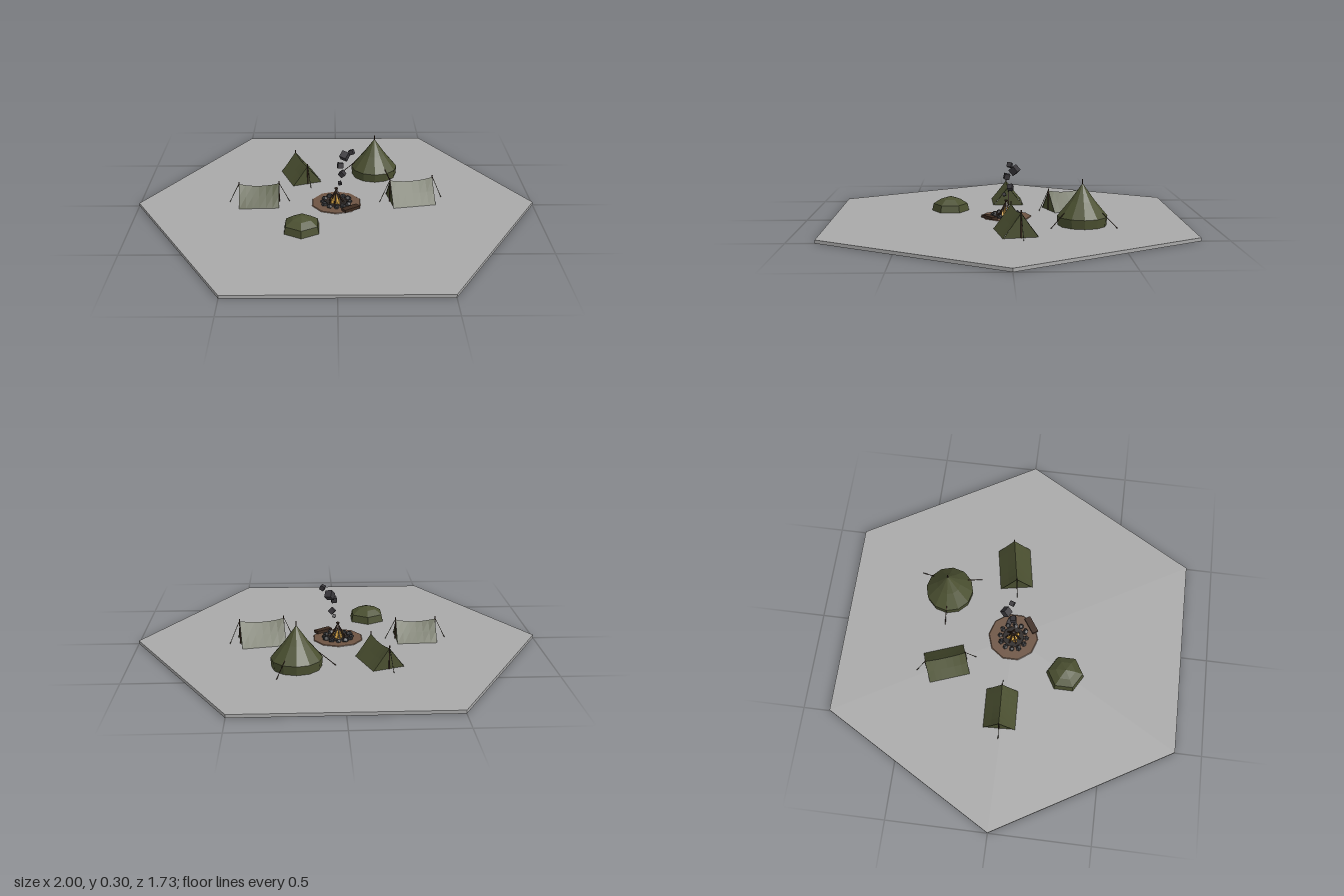
import * as THREE from 'three';

const GROUND = 0.016;
const mat = (name, color, side = THREE.FrontSide) => {
  const m = new THREE.MeshStandardMaterial({ color, side });
  m.name = name;
  return m;
};

export function createModel() {
  const model = new THREE.Group();
  model.name = 'campsite';
  const stone = mat('base grey', 0xa9a9a9);
  const canvas = mat('olive canvas', 0x4b5031, THREE.DoubleSide);
  const wood = mat('dark wood', 0x3d2b20);
  const rope = mat('rope', 0x35301f);
  const dirt = mat('dirt', 0x6d5443);
  const rock = mat('fire stones', 0x333335);
  const ash = mat('ash', 0x2a2523);
  const flame = mat('flame', 0xe0ac48);
  const smokeMat = mat('smoke', 0x38363a);

  // Faceted mesh with one normal per face
  const add = (parent, name, geo, material, x = 0, y = 0, z = 0) => {
    const g = geo.index ? geo.toNonIndexed() : geo;
    g.computeVertexNormals();
    const mesh = new THREE.Mesh(g, material);
    mesh.name = name;
    mesh.position.set(x, y, z);
    parent.add(mesh);
    return mesh;
  };
  const group = (name, x, z, turn = 0) => {
    const g = new THREE.Group();
    g.name = name;
    g.position.set(x, GROUND, z);
    g.rotation.y = turn;
    model.add(g);
    return g;
  };
  // Straight rod between two points
  const rod = (parent, name, from, to, r, material) => {
    const a = new THREE.Vector3(...from), b = new THREE.Vector3(...to);
    const d = b.clone().sub(a);
    const mesh = add(parent, name, new THREE.CylinderGeometry(r, r, d.length(), 5), material);
    mesh.position.copy(a).add(b).multiplyScalar(0.5);
    mesh.quaternion.setFromUnitVectors(new THREE.Vector3(0, 1, 0), d.normalize());
  };

  // Hexagonal base
  add(model, 'base', new THREE.CylinderGeometry(1, 1, GROUND, 6).rotateY(Math.PI / 6), stone, 0, GROUND / 2);

  // Ridge tents: a sheet folded over a sagging ridge, closed ends, poles and guy ropes
  const ridgeTent = (x, z, turn, half, width, height) => {
    const tent = group('ridgeTent', x, z, turn);
    const sheet = new THREE.PlaneGeometry(2, 2, 6, 4).rotateX(-Math.PI / 2);
    const p = sheet.attributes.position;
    for (let i = 0; i < p.count; i++) {
      const u = p.getX(i), v = p.getZ(i), rise = 1 - Math.abs(v);
      const sag = 0.012 * (1 - u * u);
      p.setXYZ(i, u * half, rise * (height - sag), v * width * (1 - 0.1 * rise * (1 - rise)));
    }
    add(tent, 'tentSheet', sheet, canvas);
    const end = new THREE.Shape([[-width, 0], [width, 0], [0, height]].map(q => new THREE.Vector2(...q)));
    for (const s of [-1, 1]) {
      const wall = add(tent, 'tentEnd', new THREE.ShapeGeometry(end), canvas, s * half * 0.97);
      wall.rotation.y = s * Math.PI / 2;
      wall.scale.setScalar(0.97);
      rod(tent, 'tentPole', [s * half, 0, 0], [s * half, height + 0.012, 0], 0.003, wood);
      rod(tent, 'guyRope', [s * half, height + 0.004, 0], [s * (half + 0.052), 0, 0], 0.0015, rope);
    }
  };
  ridgeTent(-0.39, -0.015, 0.04, 0.1, 0.08, 0.1);
  ridgeTent(-0.185, -0.32, -1.22, 0.103, 0.08, 0.103);
  ridgeTent(0.38, -0.035, 0.18, 0.11, 0.084, 0.116);

  // Round tents are turned from a short profile
  const turned = (profile, sides) =>
    new THREE.LatheGeometry(profile.map(q => new THREE.Vector2(...q)), sides);

  // Bell tent with centre pole and three guy ropes
  const bell = group('bellTent', 0.207, -0.36);
  add(bell, 'bellCanvas', turned([[0.118, 0], [0.122, 0.044], [0.06, 0.118], [0, 0.202]], 12), canvas);
  rod(bell, 'centrePole', [0, 0, 0], [0, 0.222, 0], 0.003, wood);
  for (let i = 0; i < 3; i++) {
    const a = Math.PI + i * Math.PI * 2 / 3, c = Math.cos(a), s = Math.sin(a);
    rod(bell, 'guyRope', [c * 0.105, 0.066, s * 0.105], [c * 0.182, 0, s * 0.182], 0.002, wood);
  }

  // Low hexagonal dome tent
  const dome = group('domeTent', -0.167, 0.286);
  add(dome, 'domeCanvas', turned([[0.096, 0], [0.088, 0.036], [0.05, 0.06], [0, 0.074]], 6), canvas);

  // Campfire: dirt patch, ash, stone ring, flames, leaning logs
  const fire = group('campfire', 0, 0);
  add(fire, 'dirtPatch', new THREE.CylinderGeometry(0.124, 0.128, 0.003, 10), dirt, 0, 0.0015);
  add(fire, 'ashBed', new THREE.CylinderGeometry(0.055, 0.058, 0.004, 10), ash, 0, 0.003);
  for (let i = 0; i < 12; i++) {
    const a = i * Math.PI / 6;
    const r = add(fire, 'fireStone', new THREE.DodecahedronGeometry(0.013 + 0.002 * (i % 3)), rock,
      Math.cos(a) * 0.068, 0.007, Math.sin(a) * 0.068);
    r.rotation.set(i, i * 2, 0);
    r.scale.y = 0.8;
  }
  add(fire, 'flame', new THREE.ConeGeometry(0.026, 0.075, 6), flame, 0, 0.04);
  for (let i = 0; i < 7; i++) {
    const a = i * Math.PI * 2 / 7, c = Math.cos(a), s = Math.sin(a);
    if (i % 2) add(fire, 'smallFlame', new THREE.ConeGeometry(0.012, 0.04, 5), flame, c * 0.025, 0.022, s * 0.025);
    rod(fire, 'fireLog', [c * 0.038, 0.002, s * 0.038], [-c * 0.006, 0.084, -s * 0.006], 0.0045, wood);
  }

  // Log seat beside the fire
  const seat = add(fire, 'logSeat', new THREE.BoxGeometry(0.09, 0.014, 0.032), wood, 0.072, 0.011, 0.085);
  seat.rotation.y = 0.6;

  // Smoke puffs: x, y, z, size
  const puffs = [[0.018, 0.13, 0.01, 0.016], [0.03, 0.168, -0.02, 0.026], [0.02, 0.222, -0.002, 0.027],
    [0.042, 0.257, -0.04, 0.036], [0.076, 0.288, -0.015, 0.023]];
  puffs.forEach(([x, y, z, size], i) => {
    const puff = add(model, 'smokePuff', new THREE.BoxGeometry(size, size, size), smokeMat, x, y, z);
    puff.rotation.set(0.5 + i, 0.7 * i, 0.4);
  });
  return model;
}
